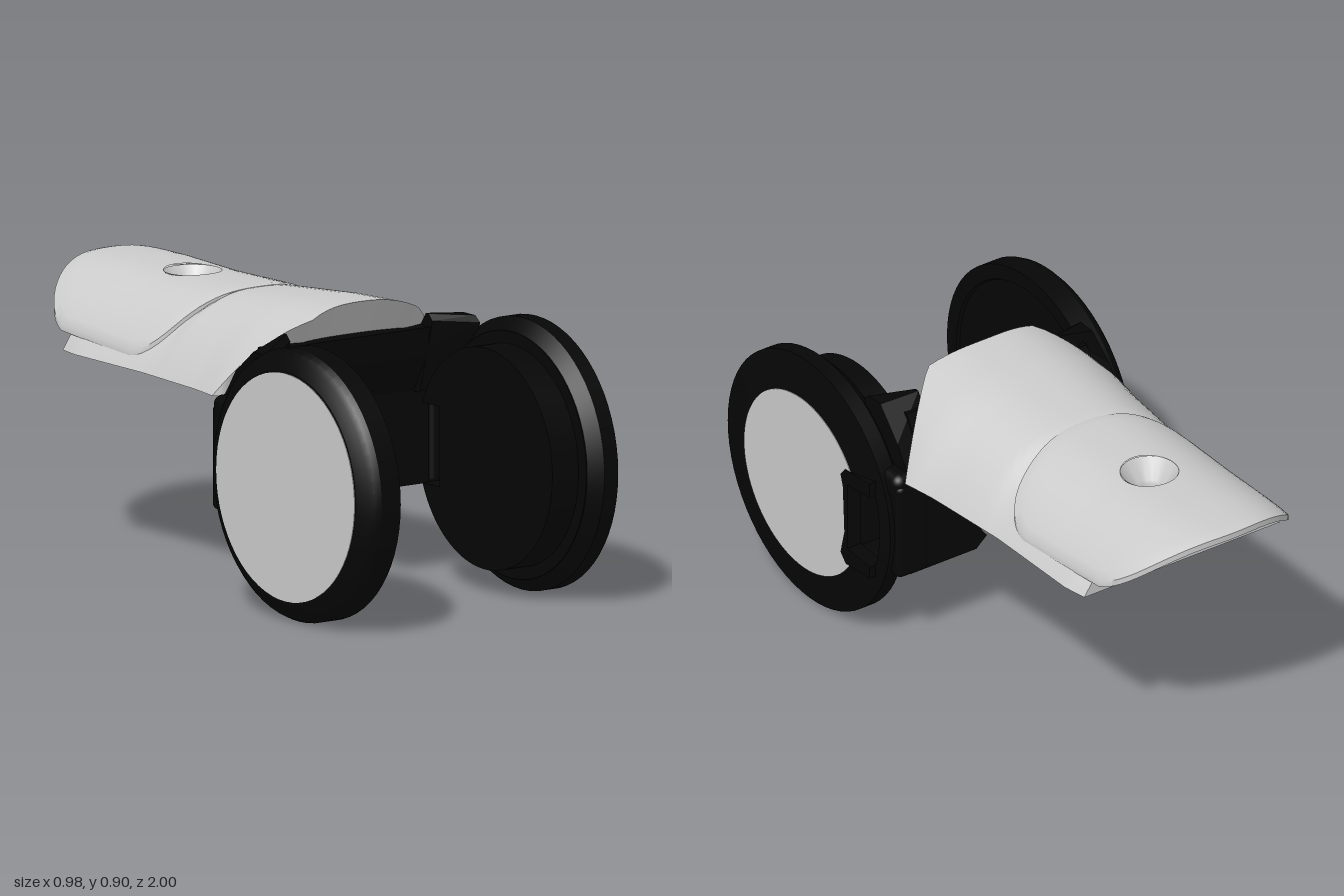
import * as THREE from 'three';
import { toCreasedNormals } from 'three/addons/utils/BufferGeometryUtils.js';
import { RoundedBoxGeometry } from 'three/addons/geometries/RoundedBoxGeometry.js';

const grey = new THREE.MeshStandardMaterial({ color: 0xcccccc });
const greyShell = new THREE.MeshStandardMaterial({ color: 0xcccccc, side: THREE.DoubleSide });
const greyInside = new THREE.MeshStandardMaterial({ color: 0xcccccc, side: THREE.BackSide });
const black = new THREE.MeshStandardMaterial({ color: 0x060606 });

const BASE = 0.63, REAR = -0.73, HOLE_Z = -0.56;
const DISC_Y = 0.424, DISC_Z = 0.576;

// Piecewise-linear lookup in a list of [z, value]
function lookup(table, z) {
  for (let i = 1; i < table.length; i++) {
    const [a, va] = table[i - 1], [b, vb] = table[i];
    if (z <= b) return THREE.MathUtils.lerp(va, vb, THREE.MathUtils.clamp((z - a) / (b - a), 0, 1));
  }
  return table[table.length - 1][1];
}
const halfWidth = z => lookup([[-0.75, 0.365], [-0.65, 0.383], [-0.3, 0.385], [0, 0.41], [0.12, 0.43]], z);
const crown = z => lookup([[-1, 0.865], [-0.8, 0.866], [-0.55, 0.858], [-0.25, 0.864], [-0.1, 0.877], [0.1, 0.893], [0.3, 0.902]], z);
const arch = (x, z, w) => crown(z) - (crown(z) - BASE) * Math.pow(Math.abs(x / w), 2.7);

// Surface from a point rule p(i, j); cells can be skipped
function grid(nu, nv, p, skip = () => false) {
  const pos = [], idx = [], at = (i, j) => j * (nu + 1) + i;
  for (let j = 0; j <= nv; j++) for (let i = 0; i <= nu; i++) pos.push(...p(i, j));
  for (let j = 0; j < nv; j++) for (let i = 0; i < nu; i++) {
    if (skip(pos[3 * at(i, j)], pos[3 * at(i, j) + 2])) continue;
    idx.push(at(i, j), at(i, j + 1), at(i + 1, j), at(i + 1, j), at(i, j + 1), at(i + 1, j + 1));
  }
  const g = new THREE.BufferGeometry();
  g.setAttribute('position', new THREE.Float32BufferAttribute(pos, 3));
  g.setIndex(idx);
  return toCreasedNormals(g, 0.7);
}

// Shape drawn in (z, y), extruded along x
const profile = points => new THREE.Shape(points.map(p => new THREE.Vector2(...p)));
function extrudeX(shape, x0, x1) {
  return new THREE.ExtrudeGeometry(shape, { depth: x1 - x0, bevelEnabled: false, curveSegments: 64 })
    .rotateY(-Math.PI / 2).translate(x1, 0, 0);
}

// Circle with a square notch cut in from its rear edge
function notchedCircle(r) {
  const h = 0.125, a = Math.asin(h / r), s = new THREE.Shape();
  s.absarc(DISC_Z, DISC_Y, r, a - Math.PI, Math.PI - a, false);
  s.lineTo(DISC_Z - 0.235, DISC_Y + h);
  s.lineTo(DISC_Z - 0.235, DISC_Y - h);
  return s;
}

export function createModel() {
  const model = new THREE.Group();
  const add = (name, geometry, material, x = 0, y = 0, z = 0, parent = model) => {
    const m = new THREE.Mesh(geometry, material);
    m.name = name;
    m.position.set(x, y, z);
    parent.add(m);
    return m;
  };

  // Arched body, with its front edge cut in plan
  const NU = 40, NV = 40;
  const uAt = i => Math.sin((i / NU - 0.5) * Math.PI);
  const frontZ = u => {
    const x = Math.abs(u) * 0.43;
    return x < 0.2 ? 0.3 + 0.02 * (x / 0.2) ** 2 : THREE.MathUtils.lerp(0.32, 0.12, (x - 0.2) / 0.23);
  };
  const bodyPoint = (i, j) => {
    const u = uAt(i), z = THREE.MathUtils.lerp(REAR, frontZ(u), j / NV), w = halfWidth(z);
    const sink = 0.016 * THREE.MathUtils.smoothstep(-z, 0.21, 0.25) * (1 - Math.abs(u) ** 2.7);
    return [u * w, arch(u * w, z, w) - sink, z];
  };
  const body = new THREE.Group();
  body.name = 'body';
  model.add(body);
  add('bodyTop', grid(NU, NV, bodyPoint, (x, z) => Math.abs(x) < 0.13 && Math.abs(z - HOLE_Z) < 0.12), greyShell, 0, 0, 0, body);
  add('bodyFront', grid(NU, 1, (i, j) => {
    const p = bodyPoint(i, NV);
    return j ? p : [p[0], BASE, Math.min(0.14, p[2])];
  }), greyShell, 0, 0, 0, body);
  add('bodyRear', grid(NU, 1, (i, j) => {
    const p = bodyPoint(i, 0);
    return j ? p : [p[0], BASE, REAR];
  }), greyShell, 0, 0, 0, body);

  // Flat underside with screw hole and two pockets
  const side = [];
  for (let k = 0; k <= 16; k++) {
    const z = THREE.MathUtils.lerp(REAR, 0.12, k / 16);
    side.push(new THREE.Vector2(halfWidth(z), z));
  }
  side.push(new THREE.Vector2(0.407, 0.14));
  const under = new THREE.Shape([...side, ...side.map(p => new THREE.Vector2(-p.x, p.y)).reverse()]);
  under.holes.push(new THREE.Path().absarc(0, HOLE_Z, 0.045, 0, Math.PI * 2, true));
  for (const [z, w, l, d] of [[-0.28, 0.24, 0.22, 0.12], [0, 0.24, 0.18, 0.03]]) {
    under.holes.push(new THREE.Path([[-1, -1], [-1, 1], [1, 1], [1, -1]].map(
      ([a, b]) => new THREE.Vector2(a * w / 2, z + b * l / 2))));
    add('undersidePocket', new THREE.BoxGeometry(w, d, l), greyInside, 0, BASE + d / 2, z, body);
  }
  add('underside', new THREE.ShapeGeometry(under, 24).rotateX(Math.PI / 2), greyShell, 0, BASE, 0, body);

  // Lid: rings from the screw hole out to a rounded outline, then back underneath
  const outline = new THREE.Shape();
  outline.moveTo(0, -1);
  outline.bezierCurveTo(0.18, -1, 0.32, -0.9, 0.345, -0.77);
  outline.lineTo(0.36, -0.4);
  outline.bezierCurveTo(0.355, -0.33, 0.32, -0.285, 0.27, -0.265);
  outline.quadraticCurveTo(0.14, -0.215, 0, -0.215);
  const half = outline.getSpacedPoints(48);
  const rim = [...half, ...half.slice(0, -1).reverse().map(p => new THREE.Vector2(-p.x, p.y))];
  const NR = 16;
  add('lid', grid(rim.length - 1, 2 * NR + 1, (i, j) => {
    const bottom = j > NR, t = (bottom ? 2 * NR + 1 - j : j) / NR;
    const a = Math.atan2(rim[i].y - HOLE_Z, rim[i].x);
    const x = THREE.MathUtils.lerp(0.09 * Math.cos(a), rim[i].x, t);
    const z = THREE.MathUtils.lerp(HOLE_Z + 0.09 * Math.sin(a), rim[i].y, t);
    return [x, arch(x, z, 0.395) + (bottom ? -0.02 : 0.006 - 0.006 * t ** 20), z];
  }), greyShell);
  const sink = [[0.09, 0.863], [0.05, 0.8], [0.045, 0.79], [0.045, BASE]].map(p => new THREE.Vector2(...p));
  add('screwHole', toCreasedNormals(new THREE.LatheGeometry(sink, 40), 0.6), greyShell, 0, 0, HOLE_Z);

  // Parts turned about the disc axis from [radius, x], leaving out an angle at the rear
  const turned = (name, points, gap = 0) => {
    const g = new THREE.LatheGeometry(points.map(p => new THREE.Vector2(...p)), 64, Math.PI + gap, 2 * (Math.PI - gap));
    add(name, toCreasedNormals(g.rotateZ(-Math.PI / 2), 0.4), black, 0, DISC_Y, DISC_Z);
  };
  turned('rightDisc', [[0, -0.488], [0.362, -0.488], [0.4, -0.468], [0.415, -0.455], [0.424, -0.437], [0.424, -0.365],
    [0.375, -0.365], [0.37, -0.375], [0, -0.375]]);
  add('rightDiscPad', new THREE.CylinderGeometry(0.355, 0.355, 0.004, 64).rotateZ(Math.PI / 2), grey, -0.488, DISC_Y, DISC_Z);

  // Left disc: a closed rim around layers with a notch right through them
  turned('leftDiscRim', [[0.38, 0.37], [0.424, 0.41], [0.424, 0.462], [0.38, 0.471], [0.38, 0.37]]);
  turned('leftDiscBevel', [[0.382, 0.4705], [0.302, 0.487]], 0.42);
  for (const [r, x0, x1] of [[0.345, 0.27, 0.37], [0.384, 0.37, 0.47], [0.302, 0.47, 0.486]])
    add('leftDiscLayer', extrudeX(notchedCircle(r), x0, x1), black);
  add('leftDiscPad', extrudeX(notchedCircle(0.302), 0.486, 0.489), grey);
  add('notchFrame', extrudeX(profile([[0.22, 0.26], [0.345, 0.25], [0.372, 0.28], [0.352, 0.36], [0.36, 0.52], [0.372, 0.56],
    [0.35, 0.588], [0.22, 0.6], [0.22, 0.55], [0.335, 0.54], [0.335, 0.31], [0.22, 0.3]]), 0.44, 0.491), black);

  // Bracket: rear plate with a round opening at the bottom
  const plate = new THREE.Shape();
  plate.moveTo(-0.4, 0.285);
  plate.lineTo(-0.15, 0.285);
  plate.lineTo(-0.115, 0.32);
  plate.absarc(0, 0.425, 0.152, Math.PI + 0.76, -0.76, true);
  plate.lineTo(0.15, 0.285);
  plate.lineTo(0.4, 0.285);
  plate.lineTo(0.4, 0.62);
  plate.lineTo(-0.4, 0.62);
  add('bracketPlate', new THREE.ExtrudeGeometry(plate, { depth: 0.075, bevelEnabled: false, curveSegments: 12 }), black, 0, 0, 0.135);
  add('bracketTop', extrudeX(profile([[0.135, 0.58], [0.21, 0.58], [0.28, 0.7], [0.295, 0.79], [0.235, 0.79], [0.14, 0.628]]), -0.34, 0.34), black);

  // Shoulders and side blocks joining the bracket to the discs
  const earProfile = profile([[0.135, 0.56], [0.24, 0.58], [0.35, 0.73], [0.375, 0.81], [0.35, 0.83],
    [0.29, 0.83], [0.2, 0.72], [0.14, 0.628]]);
  for (const [s, drop] of [[1, 0.01], [-1, 0.04]]) {
    // slope the outer side down and pull the inner side back
    const ear = extrudeX(earProfile, 0.27, 0.4), p = ear.attributes.position;
    for (let i = 0; i < p.count; i++) {
      if (p.getX(i) > 0.3) p.setY(i, p.getY(i) - drop * THREE.MathUtils.smoothstep(p.getY(i), 0.7, 0.83));
      else p.setZ(i, p.getZ(i) - 0.07 * THREE.MathUtils.smoothstep(p.getZ(i), 0.25, 0.37));
    }
    ear.computeVertexNormals();
    add('shoulder', ear, black).scale.x = s;
    add('sideBlock', new RoundedBoxGeometry(0.12, 0.33, 0.095, 3, 0.02), black, s * 0.385, 0.445, 0.178);
    add('shoulderKnob', new RoundedBoxGeometry(0.08, 0.09, 0.13, 3, 0.03), black, s * 0.41, 0.595, 0.2);
  }
  add('latchTab', new RoundedBoxGeometry(0.13, 0.05, 0.12, 2, 0.015), black, 0, 0.64, 0.13);
  return model;
}
